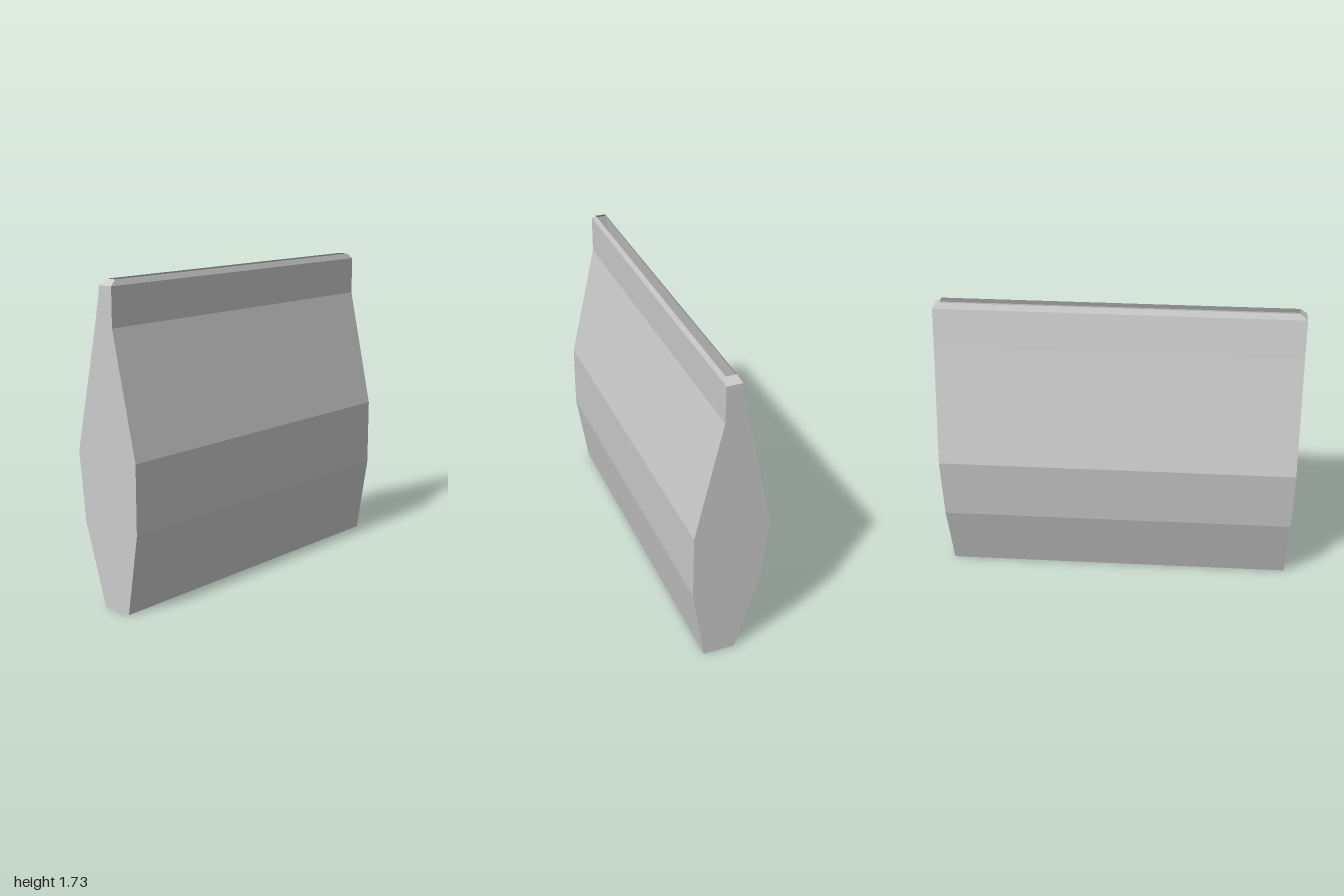
import * as THREE from 'three';

const material = new THREE.MeshStandardMaterial({
  color: 0xcccccc, flatShading: true, side: THREE.DoubleSide,
});

// Cross-section of the shell, counter-clockwise, starting at the foot
const profile = [
  [-0.035, 0], [0.14, 0], [0.21, 0.44], [0.21, 0.82], [0.06, 1.49],
  [0.06, 1.70], [-0.025, 1.70], [-0.065, 1.49], [-0.213, 0.82], [-0.172, 0.44],
];
const TOP_EDGE = 5; // the edge left open for the slot

// Flat-sided geometry from a list of four-cornered faces
function quads(faces) {
  const points = faces.flatMap(([a, b, c, d]) => [a, b, c, a, c, d]).flat();
  const geometry = new THREE.BufferGeometry();
  geometry.setAttribute('position', new THREE.Float32BufferAttribute(points, 3));
  geometry.computeVertexNormals();
  return geometry;
}

// Corners of a level rectangle, counter-clockwise seen from above
const ring = (x0, x1, y, z) => [[x0, y, z], [x1, y, z], [x1, y, -z], [x0, y, -z]];

export function createModel() {
  const group = new THREE.Group();
  const add = (name, geometry) => {
    const mesh = new THREE.Mesh(geometry, material);
    mesh.name = name;
    group.add(mesh);
    return mesh;
  };

  // Long side panels and the narrow foot
  const sides = profile.map(([ax, ay], i) => {
    const [bx, by] = profile[(i + 1) % profile.length];
    return [[ax, ay, 1], [ax, ay, -1], [bx, by, -1], [bx, by, 1]];
  }).filter((_, i) => i !== TOP_EDGE);
  add('sidePanels', quads(sides));

  // End walls
  const shape = new THREE.Shape(profile.map(([x, y]) => new THREE.Vector2(x, y)));
  add('frontWall', new THREE.ShapeGeometry(shape)).position.z = 1;
  const back = new THREE.ShapeGeometry(shape);
  back.setIndex([...back.index.array].reverse());
  back.computeVertexNormals();
  add('backWall', back).position.z = -1;

  // Chamfered rim around the open slot on top
  const lower = ring(-0.025, 0.06, 1.70, 1);
  const upper = ring(-0.01, 0.048, 1.73, 0.96);
  add('chamferedRim', quads(lower.map((p, i) => {
    const j = (i + 1) % 4;
    return [p, lower[j], upper[j], upper[i]];
  })));

  return group;
}
